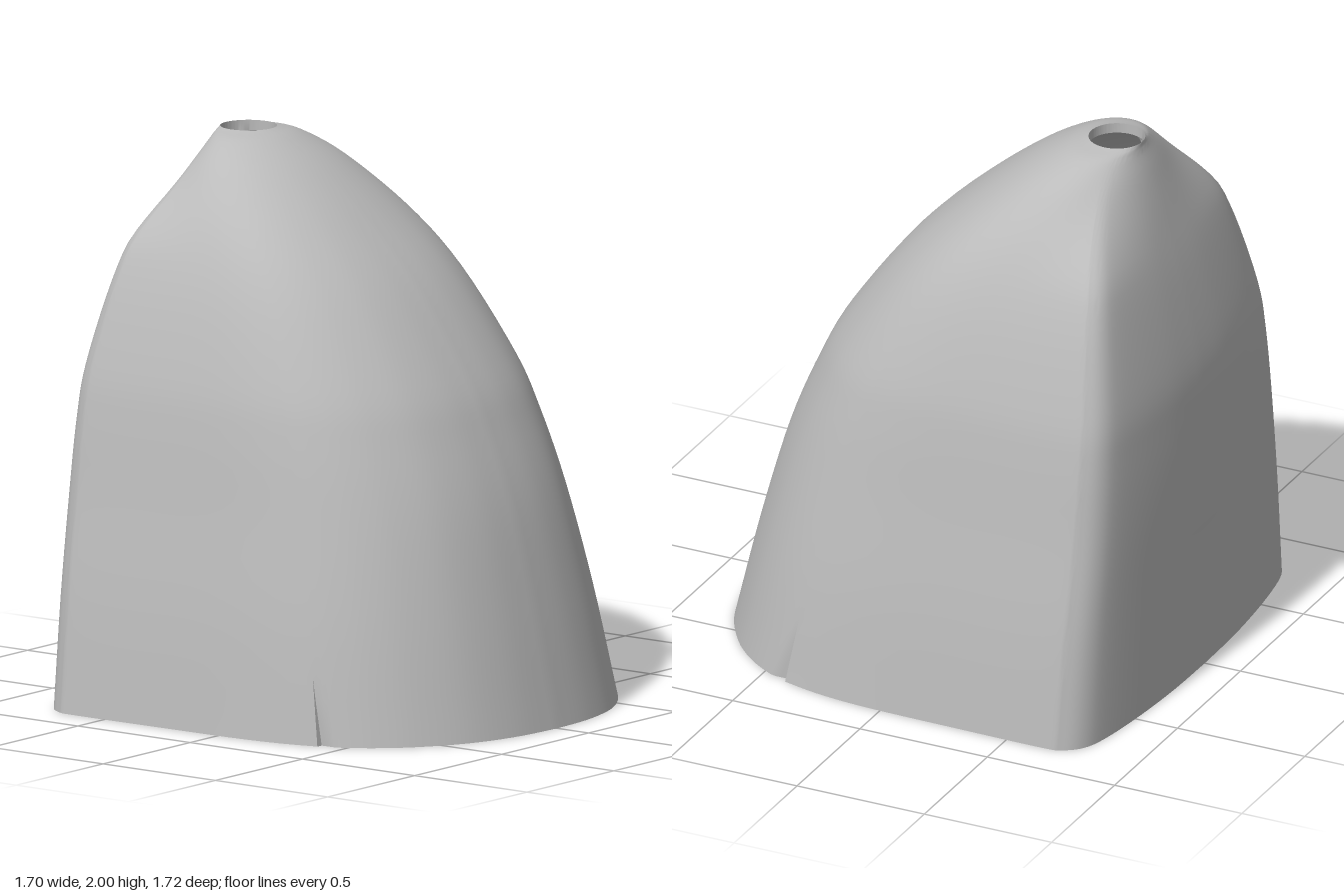
import * as THREE from 'three';
import { toCreasedNormals } from 'three/addons/utils/BufferGeometryUtils.js';

const WALL = 0.037;
const HOLE = { r: 0.1, z: -0.515 };

// Half of the base outline, front arc then side and back: [x, z]
const FRONT = [[0, 0.86], [0.2, 0.845], [0.4, 0.79], [0.57, 0.69], [0.68, 0.585], [0.75, 0.48], [0.785, 0.4]];
const SIDE = [[0.785, 0.4], [0.82, 0.25], [0.84, 0.05], [0.847, -0.3], [0.85, -0.64], [0.838, -0.71],
  [0.79, -0.77], [0.7, -0.805], [0.5, -0.835], [0.25, -0.855], [0, -0.86]];

// Levels of the hood: [height, half width, front z, back z]
const LEVELS = [[0, 0.85, 0.86, -0.86], [0.4, 0.8, 0.765, -0.86], [0.76, 0.74, 0.665, -0.86],
  [1.02, 0.7, 0.56, -0.85], [1.21, 0.66, 0.46, -0.832], [1.5, 0.565, 0.245, -0.77],
  [1.71, 0.46, 0.03, -0.71], [1.88, 0.32, -0.18, -0.655], [1.97, 0.195, -0.33, -0.62], [2, 0.1, -0.415, -0.615]];

const sample = (pts, n) => new THREE.SplineCurve(pts.map(p => new THREE.Vector2(...p))).getPoints(n);

function baseOutline() {
  const half = [
    ...sample(FRONT, 26).map(p => ({ x: p.x, z: p.y, front: true })),
    ...sample(SIDE, 44).map(p => ({ x: p.x, z: p.y, front: false })),
  ];
  const mirrored = half.slice(1, -1).reverse().map(p => ({ ...p, x: -p.x }));
  return [...half, ...mirrored];
}

// One horizontal ring, easing from the D-shaped outline to the round hole
function ring(outline, y, w, zf, zb, blend, notch) {
  return outline.map(p => {
    let x = p.x * w / 0.85;
    let z = zb + (p.z + 0.86) / 1.72 * (zf - zb);
    const a = Math.atan2(p.x / 0.85, p.z / 0.86);
    const cx = Math.sin(a) * w;
    const cz = (zf + zb) / 2 + Math.cos(a) * (zf - zb) / 2;
    x += (cx - x) * blend;
    z += (cz - z) * blend;
    // shallow step in the lower front corners
    if (notch && p.front) x = THREE.MathUtils.clamp(x, -0.76, 0.76);
    return [x, y, z];
  });
}

function hoodGeometry() {
  const outline = baseOutline();
  const widthFront = new THREE.CatmullRomCurve3(LEVELS.map(l => new THREE.Vector3(l[1], l[0], l[2])), false, 'catmullrom');
  const back = new THREE.CatmullRomCurve3(LEVELS.map(l => new THREE.Vector3(0, l[0], l[3])), false, 'catmullrom');
  const steps = 45;
  const outer = [], inner = [];
  for (let i = 0; i <= steps; i++) {
    const t = i / steps;
    const a = widthFront.getPoint(t), b = back.getPoint(t);
    const blend = THREE.MathUtils.smoothstep(a.y, 1.6, 2);
    const last = i === steps;
    outer.push(ring(outline, a.y, a.x, a.z, b.z, blend, true));
    // the inner skin ends on the same circle, lower down
    const off = last ? 0 : WALL * Math.min(1, (a.x - HOLE.r) / 0.1);
    inner.push(ring(outline, a.y * (1 - WALL / 2), a.x - off, a.z - off, b.z + off, blend, false));
  }
  // outer skin up, through the hole, inner skin down, and the bottom rim
  const rings = [...outer, ...inner.reverse(), outer[0]];
  const n = outline.length;
  const index = [];
  for (let j = 0; j < rings.length - 1; j++) {
    for (let i = 0; i < n; i++) {
      const a = j * n + i, b = j * n + (i + 1) % n;
      index.push(a, b, b + n, a, b + n, a + n);
    }
  }
  const geometry = new THREE.BufferGeometry();
  geometry.setAttribute('position', new THREE.Float32BufferAttribute(rings.flat(2), 3));
  geometry.setIndex(index);
  return toCreasedNormals(geometry, 0.5);
}

export function createModel() {
  const group = new THREE.Group();
  group.name = 'hollowHood';
  const grey = new THREE.MeshStandardMaterial({ color: 0xbbbbbb });
  grey.name = 'grey';
  const shell = new THREE.Mesh(hoodGeometry(), grey);
  shell.name = 'hoodShell';
  group.add(shell);
  return group;
}
